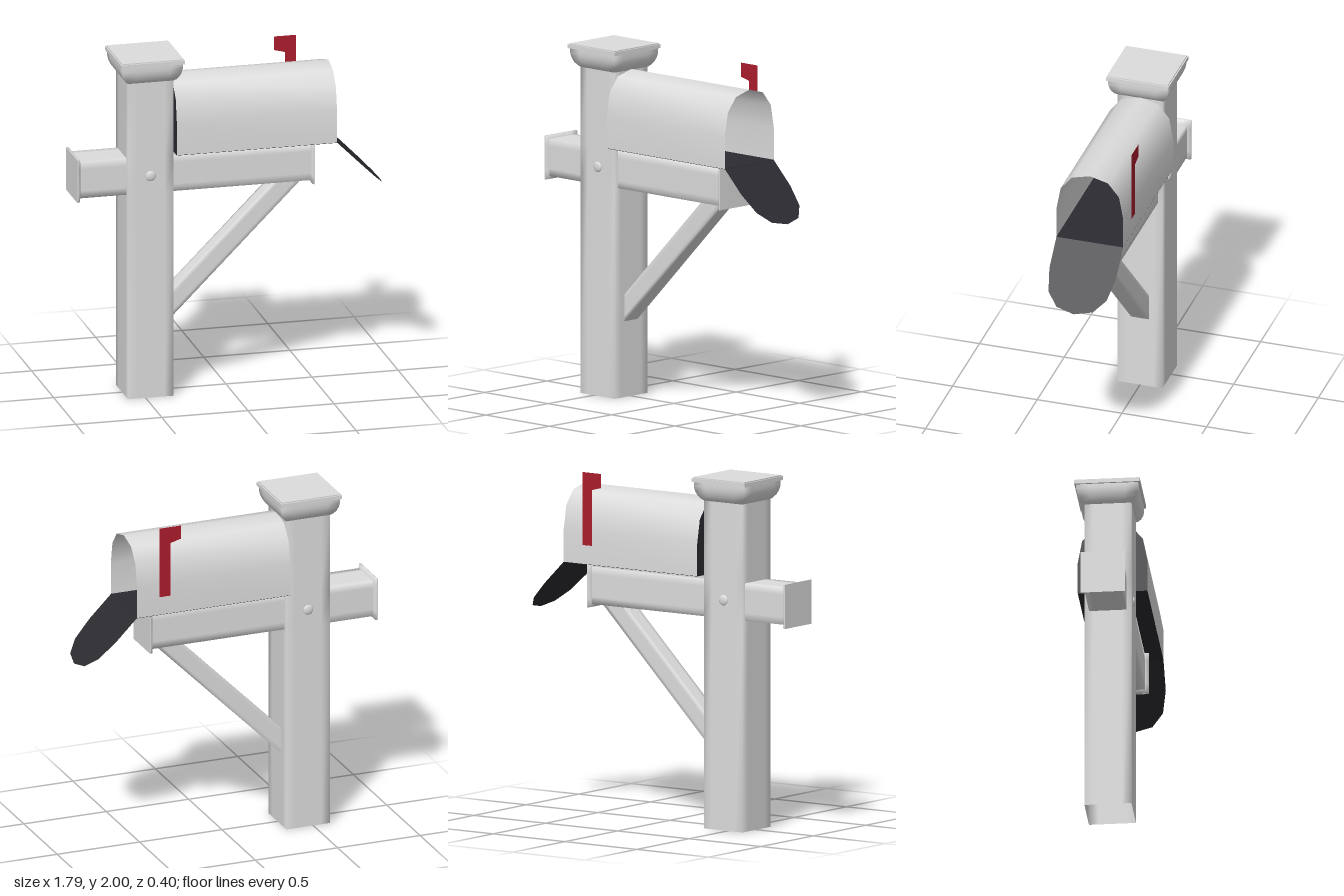
import * as THREE from 'three';

const mat = (name, color) => {
  const m = new THREE.MeshStandardMaterial({ color, side: THREE.DoubleSide });
  m.name = name;
  return m;
};

// Indexed surface through rows of points, with smooth normals
function skin(rows, closed) {
  const n = rows[0].length, index = [];
  for (let i = 0; i < rows.length - 1; i++) {
    for (let j = 0; j < (closed ? n : n - 1); j++) {
      const a = i * n + j, b = i * n + (j + 1) % n;
      index.push(a, a + n, b, b, a + n, b + n);
    }
  }
  const g = new THREE.BufferGeometry();
  g.setAttribute('position', new THREE.Float32BufferAttribute(rows.flat(2), 3));
  g.setIndex(index);
  g.computeVertexNormals();
  return g;
}

// Square tube along y with softly shaded corners; sections are [y, halfX, halfZ, centreX]
function squareTube(sections) {
  const steps = [-1, -0.6, 0.6];
  const ring = [
    ...steps.map(t => [1, t]), ...steps.map(t => [-t, 1]),
    ...steps.map(t => [-1, -t]), ...steps.map(t => [t, -1]),
  ];
  return skin(sections.map(([y, hx, hz, cx = 0]) => ring.map(([u, v]) => [cx + u * hx, y, v * hz])), true);
}

export function createModel() {
  const model = new THREE.Group();
  const white = mat('white paint', 0xdcdcdc);
  const dark = mat('dark lining', 0x2b2b31);
  const red = mat('red flag', 0xab1c2c);

  const add = (name, geometry, material, x = 0, y = 0, z = 0) => {
    const mesh = new THREE.Mesh(geometry, material);
    mesh.name = name;
    mesh.position.set(x, y, z);
    model.add(mesh);
    return mesh;
  };
  const box = (name, w, h, d, material, x, y, z = 0) =>
    add(name, new THREE.BoxGeometry(w, h, d), material, x, y, z);

  // Post, open underneath, with a flared cap
  const postX = -0.47;
  add('post', squareTube([[0, 0.133, 0.133], [1.2, 0.133, 0.133], [1.42, 0.133, 0.133], [1.89, 0.133, 0.133]]),
    white, postX);
  const flare = [[1.865, 0.133], [1.875, 0.145], [1.895, 0.16], [1.92, 0.17], [1.945, 0.175], [1.972, 0.175]];
  add('capMoulding', squareTube(flare.map(([y, h]) => [y, h, h])), white, postX);
  box('capPlate', 0.37, 0.022, 0.37, white, postX, 1.983);
  box('capTop', 0.355, 0.008, 0.355, white, postX, 1.996);

  // Button on the front and back of the post
  for (const s of [1, -1]) {
    const button = add('postButton', new THREE.SphereGeometry(0.03, 16, 10), white, postX, 1.31, s * 0.133);
    button.scale.z = 0.35;
  }

  // Cross arm with flared end plates
  const armY = 1.308;
  add('crossArm', squareTube([[-0.88, 0.106, 0.106], [0.47, 0.106, 0.106]]), white, 0, armY).rotation.z = -Math.PI / 2;
  for (const [end, s] of [[-0.895, -1], [0.486, 1]]) {
    const flange = squareTube([[-0.022, 0.107, 0.107], [-0.014, 0.124, 0.124], [0, 0.126, 0.126]]);
    add('armFlange', flange, white, end, armY).rotation.z = -s * Math.PI / 2;
    box('armEndPlate', 0.006, 0.252, 0.252, white, end - s * 0.003, armY);
  }

  // Diagonal brace
  add('brace', squareTube([[0.43, 0.077, 0.053, -0.4175], [1.215, 0.077, 0.053, 0.3675]]), white);

  // Mailbox: arched shell, dark back, floor and fold-down door
  const backX = -0.335, frontX = 0.595, floorY = 1.442;
  const half = [[0.197, 0], [0.197, 0.185], [0.172, 0.32], [0.107, 0.4]];
  const arch = [...half, [0, 0.428], ...half.map(([z, y]) => [-z, y]).reverse()];
  add('mailboxShell', skin([backX, frontX].map(x => arch.map(([z, y]) => [x, y, z])), false), white, 0, floorY);
  const panel = new THREE.ShapeGeometry(new THREE.Shape(arch.map(p => new THREE.Vector2(...p))));
  panel.rotateY(Math.PI / 2);
  add('mailboxBack', panel, dark, backX, floorY);
  add('mailboxDoor', panel, dark, frontX, floorY).rotation.z = -Math.PI * 0.75;
  box('mailboxFloor', frontX - backX, 0.004, 0.393, dark, (frontX + backX) / 2, floorY);
  box('mailboxSupport', 0.8, 0.03, 0.2, white, 0.06, 1.425);

  // Raised flag on the back side
  const flag = [[0.395, 1.55], [0.46, 1.55], [0.46, 1.965], [0.33, 1.965], [0.33, 1.885], [0.395, 1.868]];
  add('flag', new THREE.ShapeGeometry(new THREE.Shape(flag.map(p => new THREE.Vector2(...p)))), red, 0, 0, -0.202);

  return model;
}
